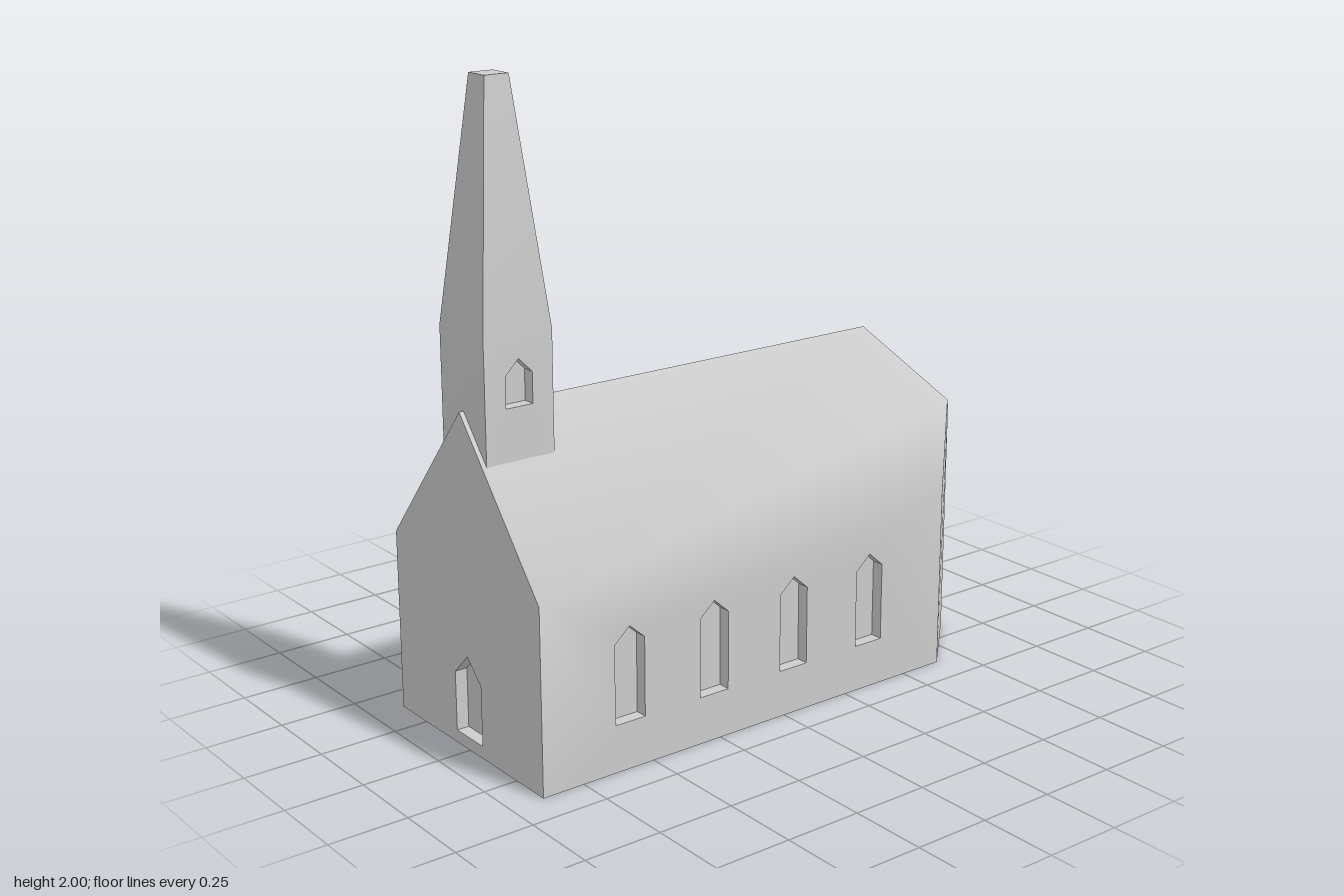
import * as THREE from 'three';
import { mergeGeometries, toCreasedNormals } from 'three/addons/utils/BufferGeometryUtils.js';

const stone = new THREE.MeshStandardMaterial({ color: 0xcccccc });
stone.name = 'paleStone';

// Convex flat face from corners listed counter-clockwise as seen from outside
function face(...p) {
  const v = [];
  for (let i = 1; i < p.length - 1; i++) v.push(...p[0], ...p[i], ...p[i + 1]);
  const g = new THREE.BufferGeometry();
  g.setAttribute('position', new THREE.Float32BufferAttribute(v, 3));
  return g;
}

// Pointed opening: centre, half width, sill, shoulder and apex heights
const opening = (x, hw, sill, shoulder, apex) =>
  [[x - hw, sill], [x + hw, sill], [x + hw, shoulder], [x, apex], [x - hw, shoulder]];

// Wall in the xy plane facing +z, with recessed openings
function wall(outline, openings, depth) {
  const toV2 = (pts) => pts.map(([x, y]) => new THREE.Vector2(x, y));
  const shape = new THREE.Shape(toV2(outline));
  shape.holes = openings.map((o) => new THREE.Path(toV2(o)));
  const sheet = new THREE.ShapeGeometry(shape).toNonIndexed();
  sheet.deleteAttribute('uv');
  sheet.deleteAttribute('normal');
  const parts = [sheet];
  for (const o of openings) {
    parts.push(face(...o.map(([x, y]) => [x, y, -depth])));
    o.forEach((a, i) => {
      const b = o[(i + 1) % o.length];
      parts.push(face([...a, 0], [...b, 0], [...b, -depth], [...a, -depth]));
    });
  }
  return mergeGeometries(parts);
}

// Copy reflected to the back (z -> -z) with the winding restored
function mirrorZ(g) {
  const m = g.clone(), p = m.attributes.position, a = p.array;
  for (let i = 0; i < a.length; i += 9) {
    for (let k = 0; k < 3; k++) {
      [a[i + 3 + k], a[i + 6 + k]] = [a[i + 6 + k], a[i + 3 + k]];
    }
  }
  for (let i = 0; i < p.count; i++) p.setZ(i, -p.getZ(i));
  return m;
}

function solid(name, halves, centre) {
  const g = mergeGeometries([...halves, ...halves.map(mirrorZ), ...centre]);
  const mesh = new THREE.Mesh(toCreasedNormals(g, THREE.MathUtils.degToRad(42)), stone);
  mesh.name = name;
  return mesh;
}

function nave() {
  const W = -0.89, X = 0.65, E = 0.885, Z = 0.388, EZ = 0.165;
  const eave = 0.58, ridge = 1.05, endEave = 0.77;
  const hip = [0.85, 0.81, 0.197];

  // Long wall with four windows, roof slope and angled corner wall
  const windows = [-0.583, -0.274, 0.034, 0.343].map((x) => opening(x, 0.053, 0.15, 0.4, 0.447));
  const longWall = wall([[W, 0], [X, 0], [X, eave], [W, eave]], windows, 0.04).translate(0, 0, Z);
  const slope = face([W, eave, Z], [X, eave, Z], hip, [X, ridge, 0], [W, ridge, 0]);
  const corner = face([X, 0, Z], [E, 0, EZ], [E, endEave, EZ], hip, [X, eave, Z]);

  // Gable with door, end wall, end roof and floor
  const gable = wall([[-Z, 0], [Z, 0], [Z, eave], [0, ridge], [-Z, eave]],
    [opening(0, 0.07, 0.04, 0.23, 0.3)], 0.04).rotateY(-Math.PI / 2).translate(W, 0, 0);
  const endWall = face([E, 0, EZ], [E, 0, -EZ], [E, endEave, -EZ], [E, endEave, EZ]);
  const endRoof = face([X, ridge, 0], hip, [E, endEave, EZ], [E, endEave, -EZ], [hip[0], hip[1], -hip[2]]);
  const floor = face([W, 0, -Z], [X, 0, -Z], [E, 0, -EZ], [E, 0, EZ], [X, 0, Z], [W, 0, Z]);
  return solid('nave', [longWall, slope, corner], [gable, endWall, endRoof, floor]);
}

function tower() {
  const h = 0.115, t = 0.04, base = 0.8, mid = 1.28, top = 2;
  // Belfry wall with its window, and the tapering spire above
  const belfry = wall([[-h, base], [h, base], [h, mid], [-h, mid]],
    [opening(0, 0.045, 1.07, 1.165, 1.21)], 0.04).translate(0, 0, h);
  const spire = face([-h, mid, h], [h, mid, h], [t, top, t], [-t, top, t]);
  const sides = [];
  for (const angle of [Math.PI / 2, -Math.PI / 2]) {
    sides.push(face([-h, base, h], [h, base, h], [h, mid, h], [-h, mid, h]).rotateY(angle));
    sides.push(spire.clone().rotateY(angle));
  }
  const cap = face([-t, top, t], [t, top, t], [t, top, -t], [-t, top, -t]);
  const mesh = solid('towerAndSpire', [belfry, spire], [...sides, cap]);
  mesh.position.x = -0.76;
  return mesh;
}

export function createModel() {
  const church = new THREE.Group();
  church.name = 'church';
  church.add(nave(), tower());
  return church;
}
